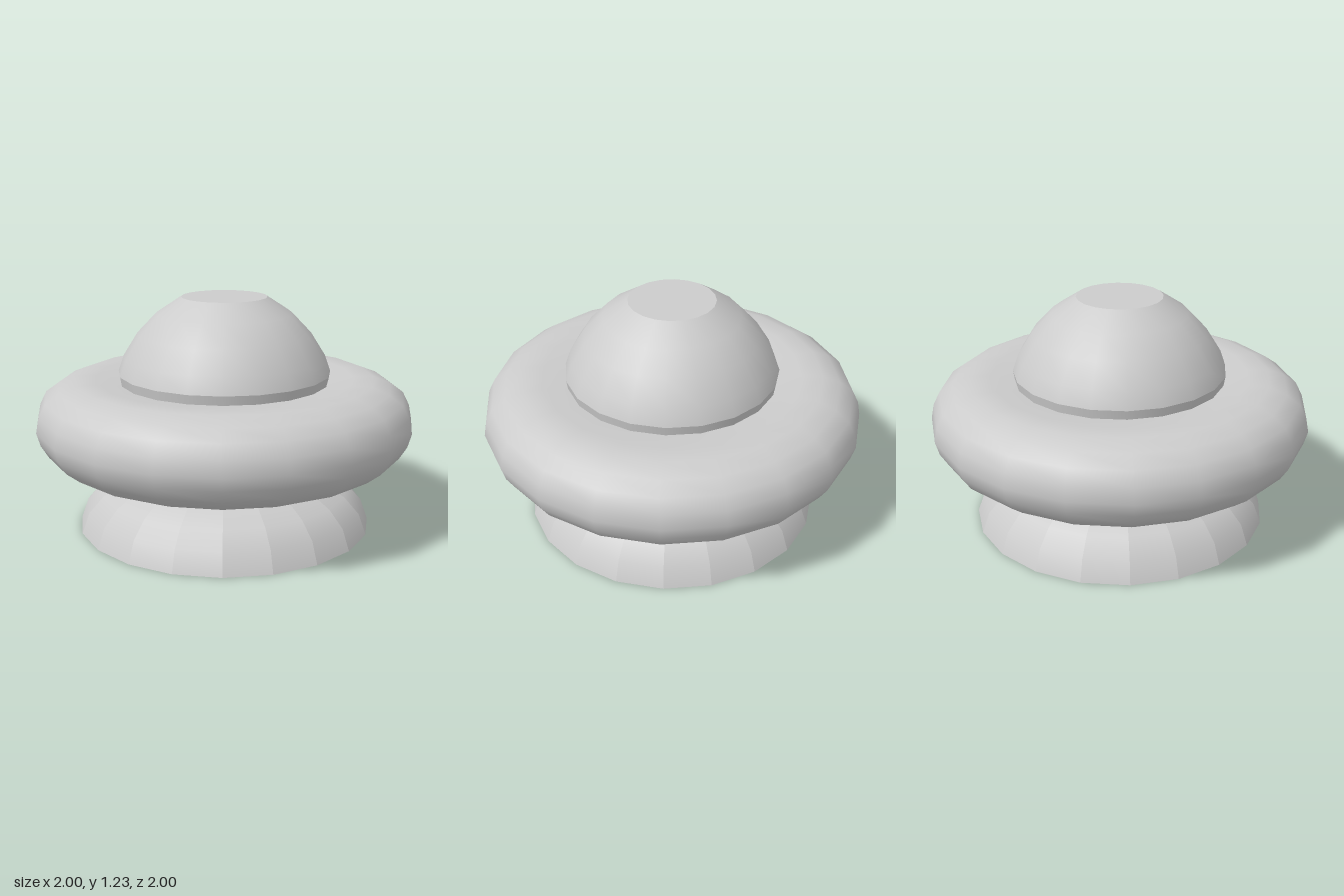
import * as THREE from 'three';

const SIDES = 20;
const material = new THREE.MeshStandardMaterial({ color: 0xcccccc });

// Revolve a [radius, height] profile; faceted gives every side panel its own direction
function turned(name, profile, faceted = false) {
  const points = profile.map(([r, y]) => new THREE.Vector2(r, y));
  let geometry = new THREE.LatheGeometry(points, SIDES);
  if (faceted) {
    geometry = geometry.toNonIndexed();
    const { normal, uv } = geometry.attributes;
    for (let i = 0; i < normal.count; i += 3) {
      const u = (Math.min(uv.getX(i), uv.getX(i + 1), uv.getX(i + 2)) + 0.5 / SIDES) * Math.PI * 2;
      for (let j = i; j < i + 3; j++) {
        const ny = normal.getY(j);
        const nr = Math.hypot(normal.getX(j), normal.getZ(j))
          * Math.sign(normal.getX(j) * Math.sin(u) + normal.getZ(j) * Math.cos(u));
        normal.setXYZ(j, nr * Math.sin(u), ny, nr * Math.cos(u));
      }
    }
  }
  const mesh = new THREE.Mesh(geometry, material);
  mesh.name = name;
  return mesh;
}

export function createModel() {
  const model = new THREE.Group();
  model.name = 'roundKnob';

  // Flared foot, hollow underneath
  const foot = new THREE.Group();
  foot.name = 'foot';
  foot.add(
    turned('footShell', [[0.785, 0], [0.745, 0.11], [0.665, 0.195], [0.545, 0.265], [0.4, 0.315]], true),
    turned('footRim', [[0.556, 0], [0.785, 0]]),
    turned('footCavityWall', [[0.3, 0.385], [0.556, 0]], true),
    turned('footCavityCeiling', [[0, 0.385], [0.3, 0.385]]),
    turned('neck', [[0.4, 0.315], [0.4, 0.345]]),
  );

  // Fat ring around the middle
  const ring = turned('ring', [
    [0.36, 0.345], [0.55, 0.335], [0.73, 0.335], [0.8, 0.35], [0.87, 0.38], [0.94, 0.435], [0.98, 0.5],
    [1, 0.57], [0.985, 0.645], [0.95, 0.715], [0.88, 0.765], [0.79, 0.8], [0.68, 0.8], [0.5, 0.775],
  ]);

  // Dome with a cut-off, flat top
  const dome = new THREE.Group();
  dome.name = 'dome';
  dome.add(
    turned('domeEdge', [[0.55, 0.77], [0.56, 0.83]]),
    turned('domeShell', [[0.56, 0.83], [0.53, 0.915], [0.455, 1.035], [0.355, 1.14], [0.225, 1.225]]),
    turned('domeTop', [[0.225, 1.225], [0, 1.225]]),
  );

  model.add(foot, ring, dome);
  return model;
}
